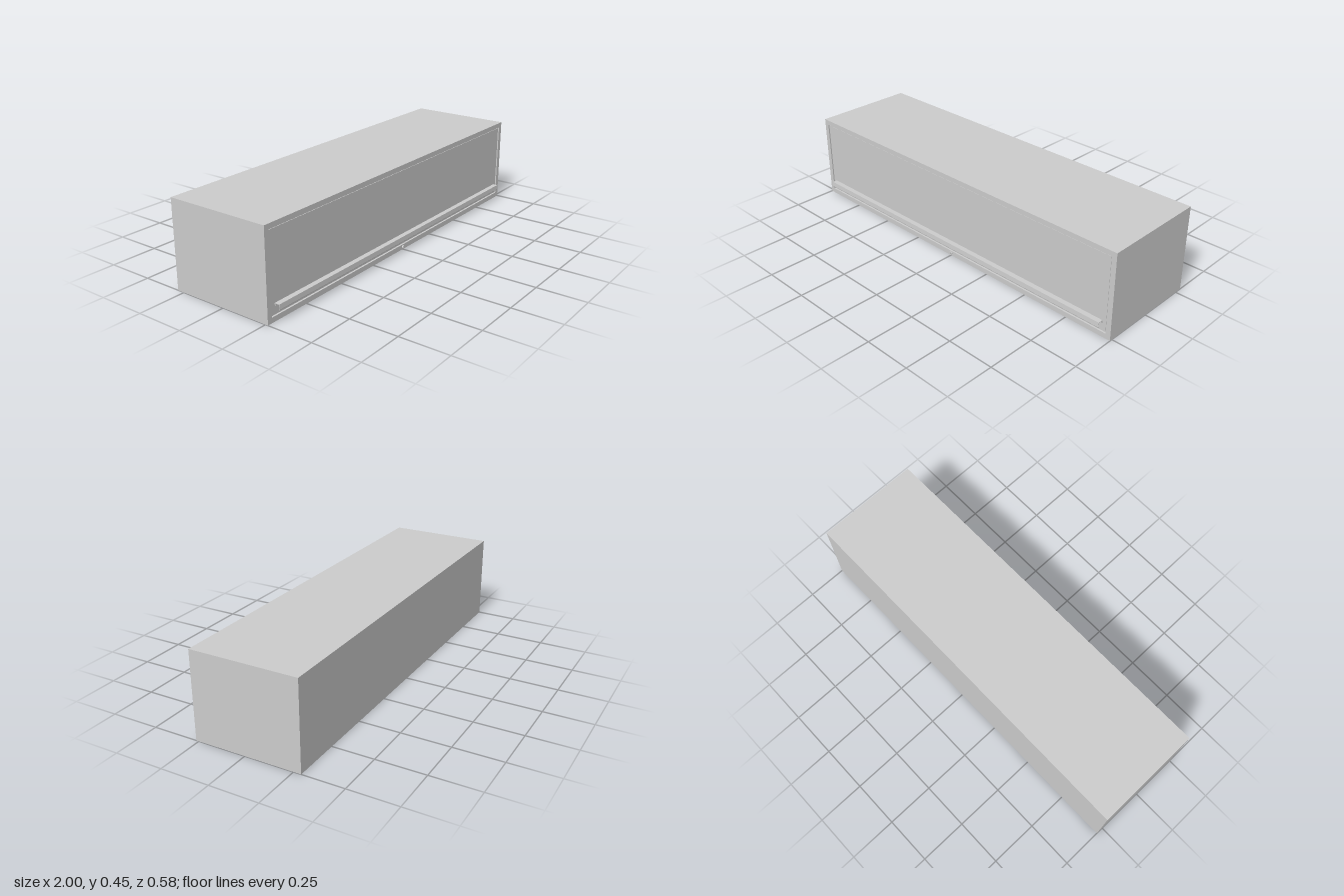
import * as THREE from 'three';

const W = 2, H = 0.45, BACK = -0.288, FRONT = 0.264, T = 0.026;
const material = new THREE.MeshStandardMaterial({ color: 0xcccccc });

function add(group, name, geometry, x = 0, y = 0, z = 0) {
  const mesh = new THREE.Mesh(geometry, material);
  mesh.name = name;
  mesh.position.set(x, y, z);
  group.add(mesh);
  return mesh;
}

function rectangle(Path, x0, y0, x1, y1) {
  return new Path([[x0, y0], [x1, y0], [x1, y1], [x0, y1]].map(p => new THREE.Vector2(...p)));
}

export function createModel() {
  const cabinet = new THREE.Group();
  cabinet.name = 'wallCabinet';

  // Carcass: four walls as one rectangular tube, closed by a back panel
  const walls = rectangle(THREE.Shape, -W / 2, 0, W / 2, H);
  walls.holes.push(rectangle(THREE.Path, -W / 2 + T, T, W / 2 - T, H - T));
  add(cabinet, 'carcass',
    new THREE.ExtrudeGeometry(walls, { depth: FRONT - BACK, bevelEnabled: false }), 0, 0, BACK);
  add(cabinet, 'backPanel', new THREE.BoxGeometry(W - 2 * T, H - 2 * T, 0.02), 0, H / 2, BACK + 0.01);

  // Flap door, set just behind the frame with a narrow gap around it
  const doorFace = FRONT - 0.004, gap = 0.004;
  add(cabinet, 'door',
    new THREE.BoxGeometry(W - 2 * (T + gap), H - 2 * (T + gap), 0.022), 0, H / 2, doorFace - 0.011);

  // Pull handle: folded sheet with a rear flange, a flat top and a leaning lip
  const handle = new THREE.Shape([
    [doorFace, 0.07], [doorFace, 0.084], [0.286, 0.084], [0.288, 0.06], [0.287, 0.057],
    [0.285, 0.057], [0.286, 0.06], [0.284, 0.082], [0.265, 0.082], [0.265, 0.07],
  ].map(([z, y]) => new THREE.Vector2(-z, y)));
  const handleGeometry = new THREE.ExtrudeGeometry(handle, { depth: 1.9, bevelEnabled: false });
  handleGeometry.rotateY(Math.PI / 2);
  add(cabinet, 'handle', handleGeometry, -0.95, 0, 0);

  // Lock on the bottom rail: short cylinder with a keyway
  const lockFace = new THREE.Shape().absarc(0, 0, 0.009, 0, Math.PI * 2);
  lockFace.holes.push(rectangle(THREE.Path, -0.0012, -0.005, 0.0012, 0.005));
  add(cabinet, 'lock',
    new THREE.ExtrudeGeometry(lockFace, { depth: 0.006, bevelEnabled: false, curveSegments: 24 }),
    0, 0.0125, FRONT);

  return cabinet;
}
